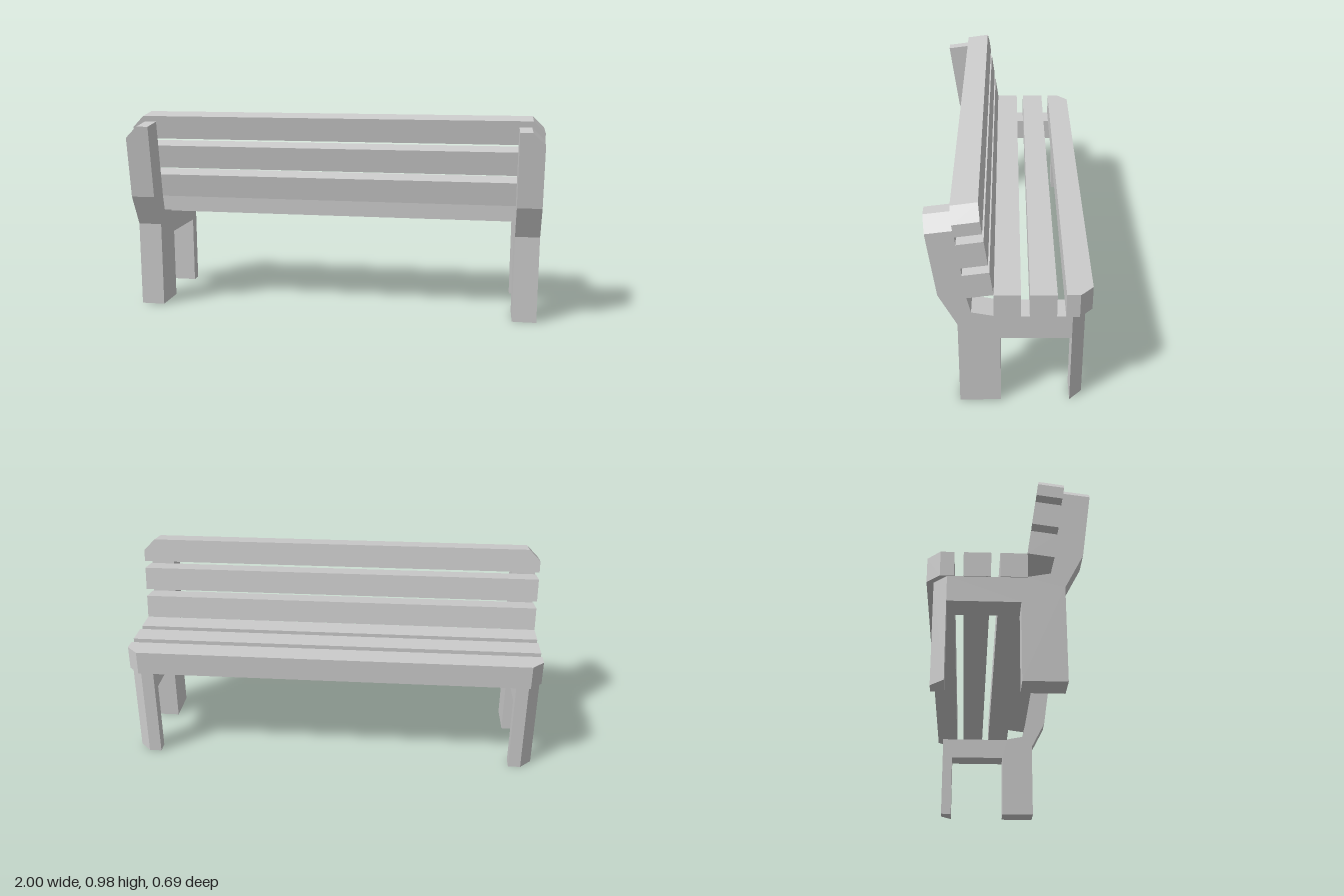
import * as THREE from 'three';

const material = new THREE.MeshStandardMaterial({ color: 0xcccccc, flatShading: true });
const T = 0.113;        // slat thickness and width
const CUT = 0.056;      // size of the corner chamfers
const INNER = 0.88, OUTER = 0.996;
const TILT = 0.14;      // backrest lean

const toShape = (pts) => new THREE.Shape(pts.map(([x, y]) => new THREE.Vector2(x, y)));

function mesh(name, geometry) {
  const m = new THREE.Mesh(geometry, material);
  m.name = name;
  return m;
}

// Full-length plank standing on y = 0 with its back at z = 0; optionally with cut upper corners
function slat(name, y, z, angle, chamfer) {
  const c = chamfer ? CUT : 0;
  const pts = [[-1, 0], [1, 0], [1, T - c]];
  if (c) pts.push([1 - c, T], [-1 + c, T]);
  else pts.push([1, T]);
  if (c) pts.push([-1, T - c]);
  else pts.push([-1, T]);
  const g = new THREE.ExtrudeGeometry(toShape(pts), { depth: T, bevelEnabled: false });
  g.translate(0, 0, -T);
  const m = mesh(name, g);
  m.position.set(0, y, z);
  m.rotation.x = angle;
  return m;
}

// Rear leg, seat bearer and back post in one side profile, given as [z, y]
function sideFrame(name, side) {
  const profile = [
    [0.22, 0], [0.22, 0.42], [0.298, 0.572], [0.346, 0.925], [0.233, 0.94],
    [0.18, 0.56], [0.162, 0.484], [0.07, 0.466], [0.07, 0.462],
    [-0.26, 0.462], [-0.26, 0.347], [0.041, 0.347], [0.041, 0],
  ];
  const g = new THREE.ExtrudeGeometry(toShape(profile.map(([z, y]) => [-z, y])),
    { depth: OUTER - INNER, steps: 2, bevelEnabled: false });
  g.rotateY(Math.PI / 2);
  g.translate(side > 0 ? INNER : -OUTER, 0, 0);
  // Slope the outer half of the post top
  const p = g.attributes.position;
  for (let i = 0; i < p.count; i++) {
    if (Math.abs(p.getX(i)) > OUTER - 0.01 && p.getY(i) > 0.9) {
      p.setY(i, p.getY(i) - CUT);
      p.setZ(i, p.getZ(i) - CUT * TILT);
    }
  }
  g.computeVertexNormals();
  return mesh(name, g);
}

// Front leg with its outer front corner cut away
function frontLeg(name, side) {
  const plan = [[INNER, 0.26], [OUTER, 0.26], [0.94, 0.316], [INNER, 0.316]];
  const g = new THREE.ExtrudeGeometry(toShape(plan.map(([x, y]) => [side * x, y])),
    { depth: 0.462, bevelEnabled: false });
  g.rotateX(-Math.PI / 2);
  return mesh(name, g);
}

export function createModel() {
  const bench = new THREE.Group();
  bench.name = 'bench';

  // Seat planks, back to front; the front one has cut corners
  [0.069, -0.081, -0.232].forEach((z, i) =>
    bench.add(slat(`seatSlat${i + 1}`, 0.575, z, -Math.PI / 2, i === 2)));

  // Leaning backrest planks, bottom to top; the top one has cut corners
  [[0.56, 0.18], [0.708, 0.201], [0.856, 0.222]].forEach(([y, z], i) =>
    bench.add(slat(`backSlat${i + 1}`, y, z, TILT, i === 2)));

  // Supports on both ends
  for (const [label, side] of [['left', 1], ['right', -1]]) {
    bench.add(sideFrame(`${label}SideFrame`, side), frontLeg(`${label}FrontLeg`, side));
  }
  return bench;
}
